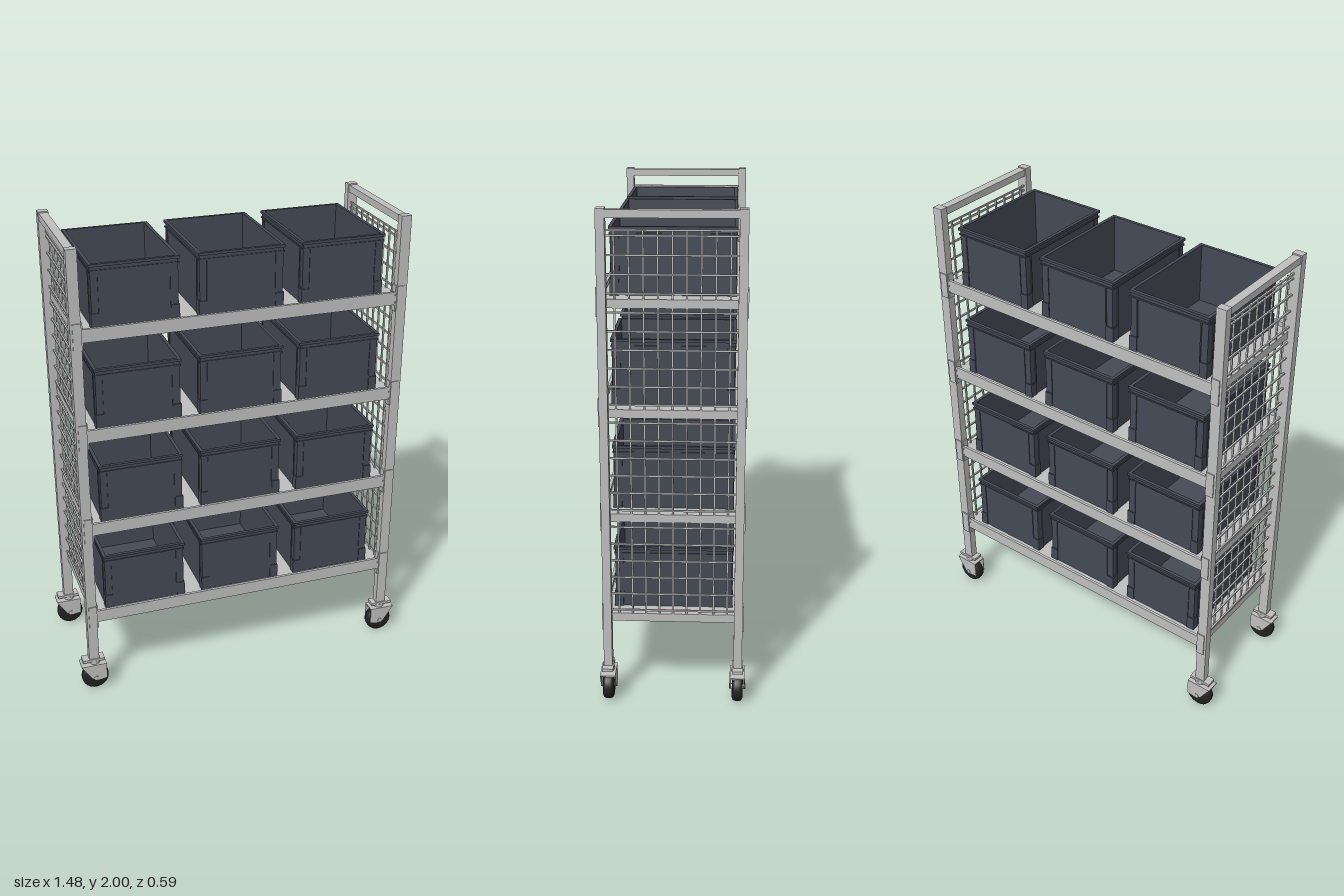
import * as THREE from 'three';

export function createModel() {
  const model = new THREE.Group();
  model.name = 'shelfTrolley';
  const mat = (name, color) => {
    const m = new THREE.MeshStandardMaterial({ color });
    m.name = name;
    return m;
  };
  const steel = mat('greySteel', 0xc0c0c0);
  const plastic = mat('darkBluePlastic', 0x454a55);
  const rubber = mat('blackRubber', 0x222222);

  const add = (parent, name, geometry, material, x = 0, y = 0, z = 0) => {
    const mesh = new THREE.Mesh(geometry, material);
    mesh.name = name;
    mesh.position.set(x, y, z);
    parent.add(mesh);
    return mesh;
  };
  const box = (parent, name, m, w, h, d, x, y, z) =>
    add(parent, name, new THREE.BoxGeometry(w, h, d), m, x, y, z);

  // Rectangular tube standing upright from y = 0, open top and bottom
  const ring = (hx, hz, wall, h) => {
    const rect = (P, a, b) => {
      const p = new P();
      p.moveTo(-a, -b); p.lineTo(a, -b); p.lineTo(a, b); p.lineTo(-a, b); p.closePath();
      return p;
    };
    const shape = rect(THREE.Shape, hx, hz);
    shape.holes.push(rect(THREE.Path, hx - wall, hz - wall));
    const g = new THREE.ExtrudeGeometry(shape, { depth: h, bevelEnabled: false });
    return g.rotateX(-Math.PI / 2);
  };

  const sides = [-1, 1];
  const shelfBases = [0.34, 0.769, 1.197, 1.625];
  const postX = 0.683, postZ = 0.262;

  // Corner posts
  for (const sx of sides) for (const sz of sides)
    box(model, 'post', steel, 0.044, 1.85, 0.034, sx * postX, 1.075, sz * postZ);

  // End frames: top rail and wire mesh
  for (const sx of sides) {
    const end = new THREE.Group();
    end.name = 'endPanel';
    model.add(end);
    box(end, 'topRail', steel, 0.036, 0.03, 0.5, sx * postX, 1.98, 0);
    for (let i = 0; i < 22; i++)
      box(end, 'horizontalWire', steel, 0.007, 0.007, 0.5, sx * 0.676, 0.392 + i * 0.0717, 0);
    box(end, 'topWire', steel, 0.007, 0.007, 0.5, sx * 0.676, 1.918, 0);
    for (let i = -4; i <= 4; i++)
      box(end, 'verticalWire', steel, 0.007, 1.57, 0.007, sx * 0.669, 1.135, i * 0.054);
  }

  // Shelves with raised front and back lips and joining plates
  for (const y of shelfBases) {
    const shelf = new THREE.Group();
    shelf.name = 'shelf';
    shelf.position.y = y;
    model.add(shelf);
    box(shelf, 'shelfPanel', steel, 1.35, 0.034, 0.53, 0, 0.019, 0);
    for (const sz of sides) {
      box(shelf, 'shelfLip', steel, 1.322, 0.055, 0.012, 0, 0.0275, sz * 0.27);
      for (const sx of sides) {
        box(shelf, 'joiningPlate', steel, 0.035, 0.11, 0.005, sx * 0.678, 0.027, sz * 0.281);
        box(shelf, 'innerBracket', steel, 0.008, 0.11, 0.03, sx * 0.659, 0.027, sz * 0.262);
      }
    }
  }

  // Open storage bin
  const rimGeo = ring(0.18, 0.241, 0.014, 0.011);
  const bandGeo = ring(0.178, 0.239, 0.012, 0.006);
  const wallGeo = ring(0.174, 0.235, 0.008, 0.258);
  const makeBin = () => {
    const bin = new THREE.Group();
    bin.name = 'storageBin';
    add(bin, 'binWalls', wallGeo, plastic);
    add(bin, 'binRim', rimGeo, plastic, 0, 0.248, 0);
    add(bin, 'binBand', bandGeo, plastic, 0, 0.228, 0);
    box(bin, 'binFloor', plastic, 0.345, 0.012, 0.466, 0, 0.007, 0);
    for (const sx of sides) for (const sz of sides) {
      // Corner feet and upright ribs
      box(bin, 'cornerFootFront', plastic, 0.035, 0.062, 0.006, sx * 0.1605, 0.031, sz * 0.236);
      box(bin, 'cornerFootSide', plastic, 0.006, 0.062, 0.035, sx * 0.175, 0.031, sz * 0.2215);
      box(bin, 'frontRib', plastic, 0.005, 0.17, 0.005, sx * 0.143, 0.146, sz * 0.236);
      box(bin, 'sideRib', plastic, 0.005, 0.17, 0.005, sx * 0.175, 0.146, sz * 0.204);
    }
    return bin;
  };
  for (const y of shelfBases) for (const x of [-0.434, 0, 0.432]) {
    const bin = makeBin();
    bin.position.set(x, y + 0.037, 0);
    model.add(bin);
  }

  // Swivel casters, forks trailing outward
  const forkShape = new THREE.Shape([
    [0.062, 0.128], [-0.048, 0.128], [-0.048, 0.052], [-0.01, 0.046], [0.018, 0.058],
  ].map(([x, y]) => new THREE.Vector2(x, y)));
  const cheekGeo = new THREE.ExtrudeGeometry(forkShape, { depth: 0.005, bevelEnabled: false });
  cheekGeo.translate(0, 0, -0.0025);
  const tyreGeo = new THREE.LatheGeometry([
    [0.012, -0.022], [0.046, -0.022], [0.056, -0.017], [0.059, -0.008],
    [0.059, 0.008], [0.056, 0.017], [0.046, 0.022], [0.012, 0.022],
  ].map(([x, y]) => new THREE.Vector2(x, y)), 32).rotateX(Math.PI / 2);
  const axleGeo = new THREE.CylinderGeometry(0.011, 0.011, 0.066, 16).rotateX(Math.PI / 2);
  for (const sx of sides) for (const sz of sides) {
    const caster = new THREE.Group();
    caster.name = 'caster';
    caster.position.set(sx * 0.68, 0, sz * postZ);
    caster.rotation.y = sx > 0 ? 0 : Math.PI;
    model.add(caster);
    add(caster, 'wheel', tyreGeo, rubber, 0, 0.059, 0);
    add(caster, 'axle', axleGeo, steel, 0, 0.059, 0);
    for (const s of sides) add(caster, 'forkCheek', cheekGeo, steel, 0, 0, s * 0.0285);
    box(caster, 'forkTop', steel, 0.11, 0.006, 0.057, 0.007, 0.125, 0);
    add(caster, 'swivel', new THREE.CylinderGeometry(0.024, 0.024, 0.016, 20), steel, 0, 0.135, 0);
    box(caster, 'mountPlate', steel, 0.096, 0.012, 0.044, 0.006, 0.148, 0);
  }
  return model;
}
